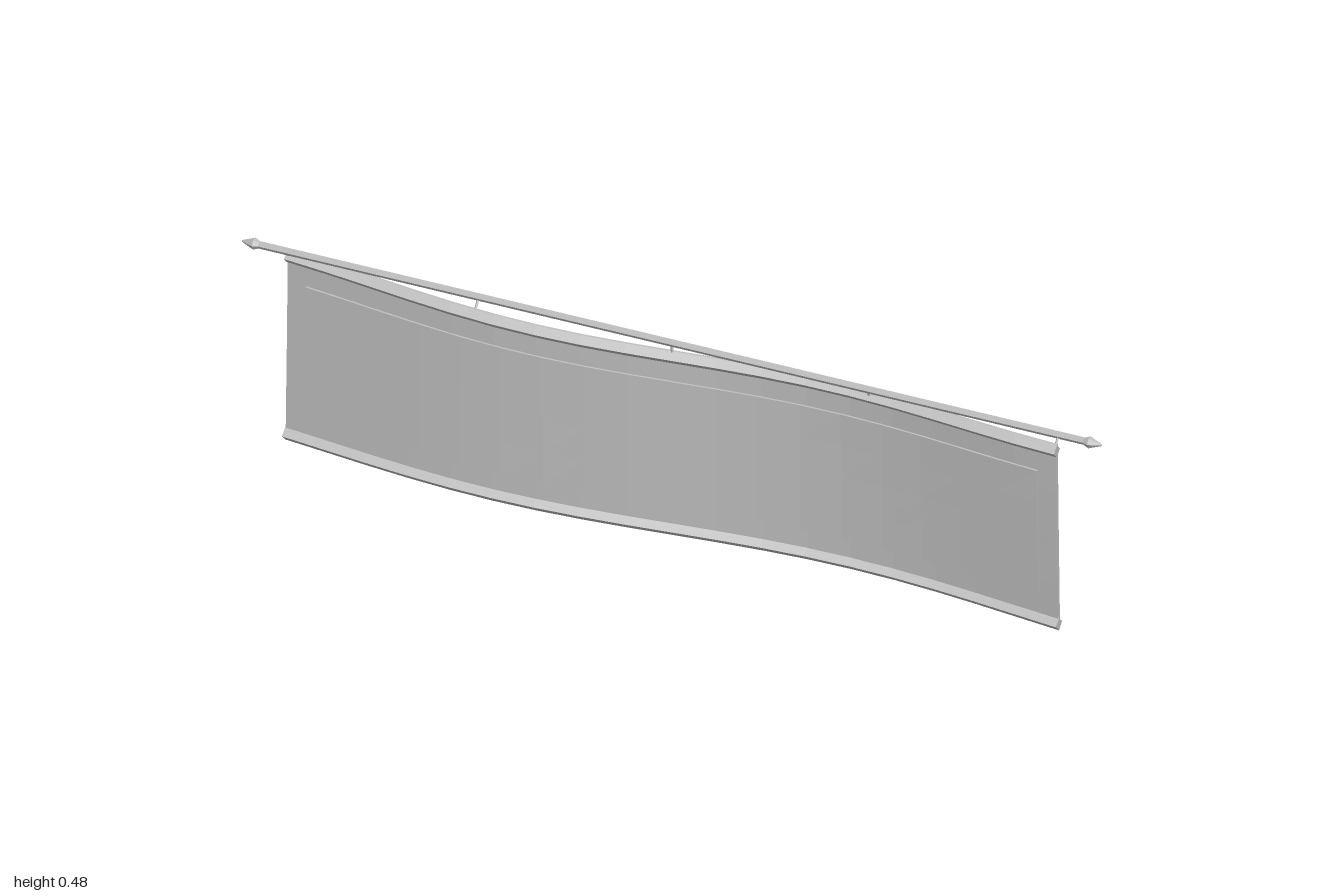
import * as THREE from 'three';

const HALF = 0.905, COLS = 18, LOW = 0.015, HIGH = 0.441;

// Sideways ripple of the cloth: its wavelength shortens towards the top
function ripple(x, y) {
  const t = THREE.MathUtils.clamp((y - LOW) / (HIGH - LOW), 0, 1);
  const amp = THREE.MathUtils.lerp(0.032, 0.027, t);
  const period = THREE.MathUtils.lerp(1.6, 1.36, t);
  return -amp * Math.sin(2 * Math.PI * x / period);
}

// The upper edge hangs slightly lower in the middle
function sag(x, y) {
  return -0.009 * (y / HIGH) * (1 - (x / HALF) ** 2);
}

function drape(geo) {
  const p = geo.attributes.position;
  for (let i = 0; i < p.count; i++) {
    const x = p.getX(i), y = p.getY(i), z = p.getZ(i);
    p.setXYZ(i, x, y + sag(x, y), z + ripple(x, y));
  }
  geo.computeVertexNormals();
  return geo;
}

export function createModel() {
  const model = new THREE.Group();
  model.name = 'hangingBanner';
  const grey = new THREE.MeshStandardMaterial({ color: 0xc0c0c0, flatShading: true });
  grey.name = 'plain grey';

  const add = (name, geo, parent = model) => {
    const mesh = new THREE.Mesh(geo, grey);
    mesh.name = name;
    parent.add(mesh);
    return mesh;
  };

  // Rippled slabs: the cloth and the raised front panel
  const slab = (name, halfW, y0, y1, z0, z1) => {
    const geo = new THREE.BoxGeometry(2 * halfW, y1 - y0, z1 - z0, COLS, 4, 1);
    geo.translate(0, (y0 + y1) / 2, (z0 + z1) / 2);
    add(name, drape(geo));
  };
  slab('cloth', HALF, 0.001, 0.454, -0.009, 0.001);
  slab('frontPanel', 0.86, 0.073, 0.383, 0.001, 0.006);

  // Diamond-section hems along the lower and upper edges
  for (const [name, y] of [['bottomHem', LOW], ['topHem', HIGH]]) {
    const geo = new THREE.CylinderGeometry(0.015, 0.015, 2 * HALF + 0.004, 4, COLS);
    geo.rotateZ(Math.PI / 2).translate(0, y, 0);
    add(name, drape(geo));
  }

  // Straight hanging rod with a pointed finial at each end
  const rodY = 0.467;
  const rod = add('rod', new THREE.CylinderGeometry(0.008, 0.008, 1.94, 6));
  rod.rotation.z = Math.PI / 2;
  rod.position.y = rodY;
  for (const side of [-1, 1]) {
    const finial = new THREE.Group();
    finial.name = side > 0 ? 'leftFinial' : 'rightFinial';
    const collar = add('collar', new THREE.CylinderGeometry(0.013, 0.008, 0.012, 6), finial);
    collar.position.y = 0.966;
    const tip = add('tip', new THREE.CylinderGeometry(0.002, 0.013, 0.028, 6), finial);
    tip.position.y = 0.986;
    finial.rotation.z = -side * Math.PI / 2;
    finial.position.y = rodY;
    model.add(finial);
  }

  // Short ties from the rod to the upper hem
  for (const x of [-0.9, -0.45, 0, 0.45, 0.9]) {
    const from = new THREE.Vector3(x, rodY, 0);
    const to = new THREE.Vector3(x, HIGH + sag(x, HIGH), ripple(x, HIGH));
    const path = new THREE.LineCurve3(from, to);
    add('tie', new THREE.TubeGeometry(path, 1, 0.003, 4));
  }
  return model;
}
